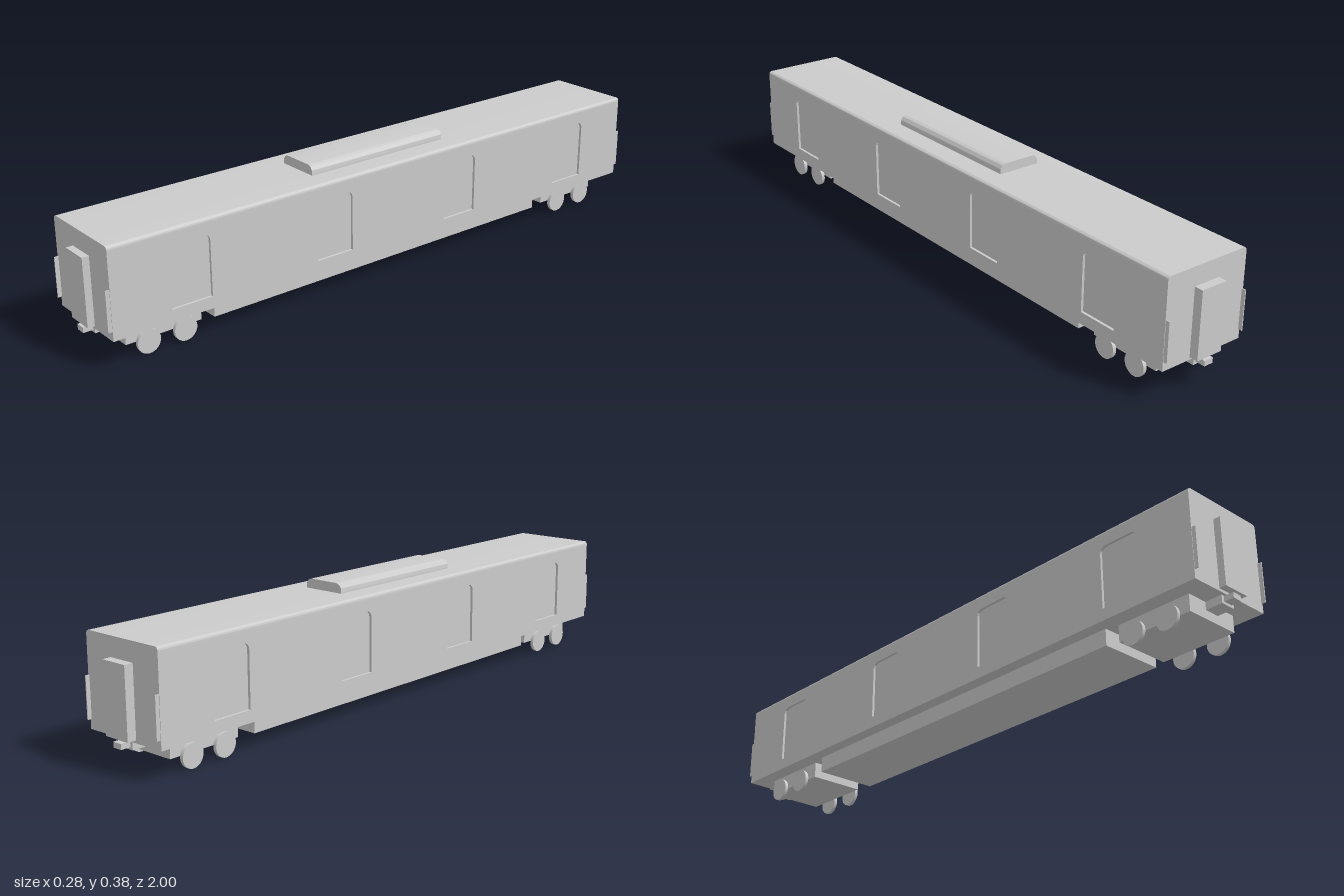
import * as THREE from 'three';
import { toCreasedNormals } from 'three/addons/utils/BufferGeometryUtils.js';

const material = new THREE.MeshStandardMaterial({ color: 0xcccccc });
const FRONT = 0.979, BACK = -0.973;          // ends of the body shell
const MID = (FRONT + BACK) / 2, LENGTH = FRONT - BACK;
const HALF = 0.14, FLOOR = 0.087, EAVES = 0.34, ROOF = 0.355;
const RECESS = 0.008;                        // depth of the door recesses

function add(parent, name, geometry) {
  const mesh = new THREE.Mesh(geometry, material);
  mesh.name = name;
  parent.add(mesh);
  return mesh;
}

// Box given by its limits on each axis
function box(parent, name, x0, x1, y0, y1, z0, z1) {
  const mesh = add(parent, name, new THREE.BoxGeometry(x1 - x0, y1 - y0, z1 - z0));
  mesh.position.set((x0 + x1) / 2, (y0 + y1) / 2, (z0 + z1) / 2);
  return mesh;
}

// Outline with a square base and two rounded top corners
function roundTop(path, x0, x1, y0, y1, r) {
  path.moveTo(x0, y0);
  path.lineTo(x1, y0);
  path.lineTo(x1, y1 - r);
  path.absarc(x1 - r, y1 - r, r, 0, Math.PI / 2, false);
  path.lineTo(x0 + r, y1);
  path.absarc(x0 + r, y1 - r, r, Math.PI / 2, Math.PI, false);
  path.closePath();
  return path;
}

function extrude(shape, depth) {
  const geometry = new THREE.ExtrudeGeometry(shape, { depth, bevelEnabled: false, curveSegments: 8 });
  return toCreasedNormals(geometry, Math.PI / 6);
}

// Side wall lying in (z, y), pierced by four door openings
function sideWall() {
  const shape = new THREE.Shape();
  shape.moveTo(-LENGTH / 2, FLOOR);
  shape.lineTo(LENGTH / 2, FLOOR);
  shape.lineTo(LENGTH / 2, EAVES);
  shape.lineTo(-LENGTH / 2, EAVES);
  shape.closePath();
  for (let i = 0; i < 4; i++) {
    const c = (i - 1.5) * 0.488;
    shape.holes.push(roundTop(new THREE.Path(), c - 0.064, c + 0.064, 0.123, 0.308, 0.02));
  }
  return extrude(shape, RECESS);
}

export function createModel() {
  const car = new THREE.Group();
  car.name = 'railCar';

  // Body: inner core, two pierced walls and a roof with rounded eaves
  const body = new THREE.Group();
  body.name = 'body';
  car.add(body);
  box(body, 'bodyCore', -HALF + RECESS, HALF - RECESS, FLOOR, EAVES, BACK, FRONT);
  const wall = sideWall();
  for (const side of [1, -1]) {
    const mesh = add(body, side > 0 ? 'leftWall' : 'rightWall', wall);
    mesh.rotation.y = side * Math.PI / 2;
    mesh.position.set(side * (HALF - RECESS), 0, MID);
  }
  const roof = roundTop(new THREE.Shape(), -HALF, HALF, EAVES, ROOF, 0.01);
  add(body, 'roof', extrude(roof, LENGTH)).position.z = BACK;

  // Air-conditioning housing on the roof
  const housing = roundTop(new THREE.Shape(), -0.068, 0.068, ROOF, 0.384, 0.021);
  add(car, 'roofUnit', extrude(housing, 0.5)).position.z = -0.227;

  // Equipment box under the floor
  box(car, 'underfloorBox', -0.101, 0.101, 0.037, FLOOR, -0.615, 0.644);

  // Bogies, each with four wheels
  const wheel = new THREE.CylinderGeometry(0.0355, 0.0355, 0.011, 32);
  wheel.rotateZ(Math.PI / 2);
  for (const [name, z] of [['frontBogie', 0.799], ['rearBogie', -0.785]]) {
    const bogie = new THREE.Group();
    bogie.name = name;
    bogie.position.z = z;
    car.add(bogie);
    box(bogie, 'bogieFrame', -0.09, 0.09, 0.037, FLOOR, -0.119, 0.119);
    for (const x of [-0.1035, 0.1035])
      for (const dz of [-0.0575, 0.0575])
        add(bogie, 'wheel', wheel).position.set(x, 0.0355, dz);
  }

  // Ends: gangway, coupler and grab rails
  for (const [name, dir, face, bogieEnd] of [['frontEnd', 1, FRONT, 0.918], ['rearEnd', -1, BACK, -0.904]]) {
    const end = new THREE.Group();
    end.name = name;
    car.add(end);
    const part = (label, x0, x1, y0, y1, a, b) =>
      box(end, label, x0, x1, y0, y1, Math.min(a, b), Math.max(a, b));
    part('gangway', -0.043, 0.043, 0.095, 0.298, face, dir);
    part('couplerMount', -0.024, 0.024, 0.063, FLOOR, bogieEnd, dir * 0.97);
    part('coupler', -0.015, 0.015, 0.07, 0.086, dir * 0.97, dir);
    for (const side of [1, -1])
      part('grabRail', side * 0.137 - 0.0015, side * 0.137 + 0.0015, 0.115, 0.235, face, face + dir * 0.012);
  }

  return car;
}
